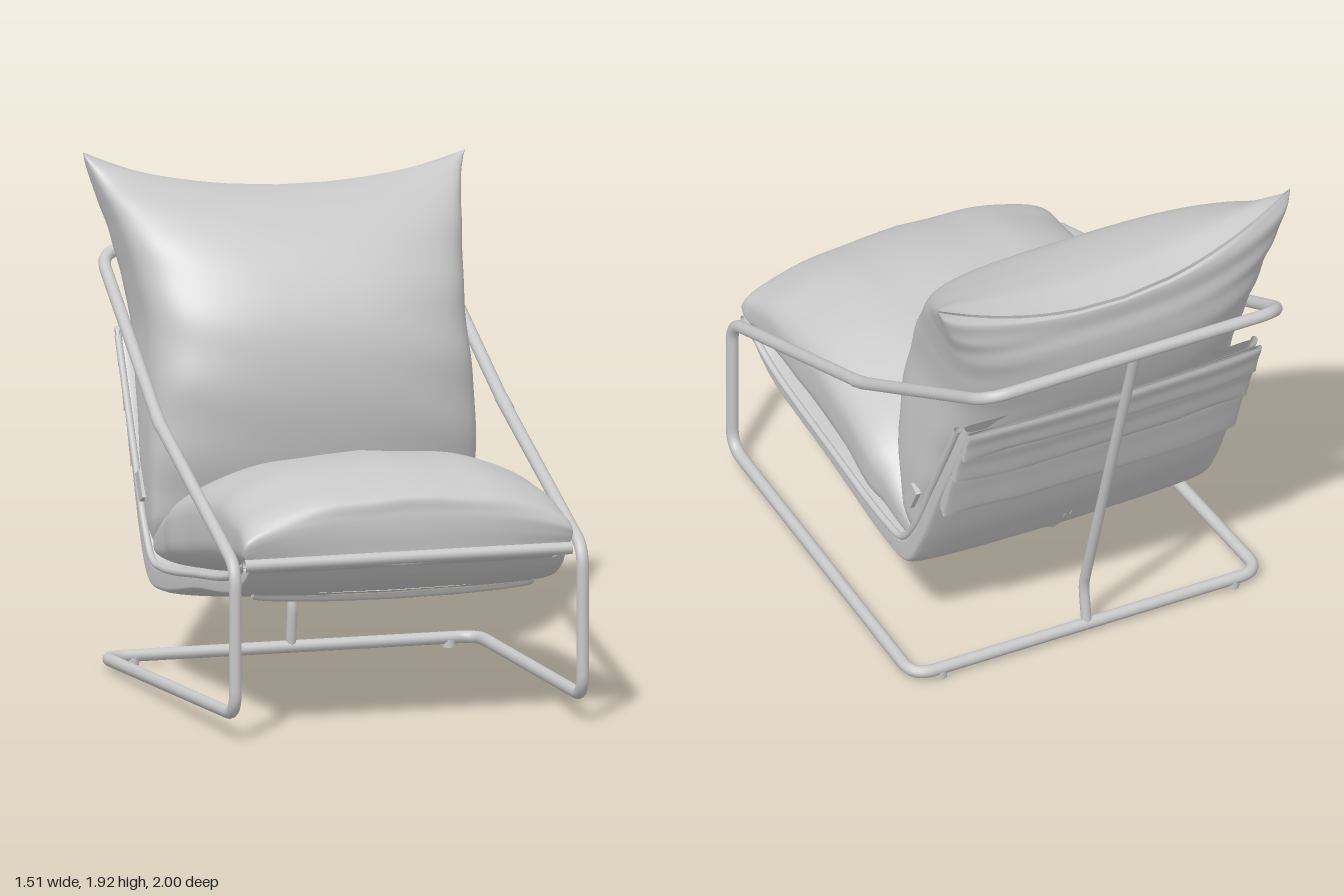
import * as THREE from 'three';

const V = (x, y, z) => new THREE.Vector3(x, y, z);
const grey = new THREE.MeshStandardMaterial({ color: 0xc8c8c8, side: THREE.DoubleSide });
grey.name = 'plain grey';

function add(group, name, geometry) {
  const mesh = new THREE.Mesh(geometry, grey);
  mesh.name = name;
  group.add(mesh);
  return mesh;
}

// Polyline with rounded corners; each point is [x, y, z, cornerRadius]
function roundedPath(points, closed = false) {
  const path = new THREE.CurvePath();
  const n = points.length;
  const p = points.map(([x, y, z]) => V(x, y, z));
  const corner = (i) => {
    if (!closed && (i === 0 || i === n - 1)) return [p[i], p[i]];
    const r = points[i][3] || 0.03;
    const toward = (q) => p[i].clone().add(q.clone().sub(p[i]).setLength(r));
    return [toward(p[(i + n - 1) % n]), toward(p[(i + 1) % n])];
  };
  for (let i = 0; i < (closed ? n : n - 1); i++) {
    const j = (i + 1) % n;
    const [inJ, outJ] = corner(j);
    path.add(new THREE.LineCurve3(corner(i)[1], inJ));
    if (closed || j < n - 1) path.add(new THREE.QuadraticBezierCurve3(inJ, p[j], outJ));
  }
  return path;
}

const tube = (path, radius, segments = 60, closed = false) =>
  new THREE.TubeGeometry(path, segments, radius, 12, closed);

// Soft padded body swept through superellipse sections.
// Section: [upper z, upper y, lower z, lower y, half width, mid shift y, mid shift z]
function padded(sections, { power = 3, rows = 64, around = 96, warp = () => {} } = {}) {
  const upper = new THREE.CatmullRomCurve3(sections.map((s) => V(0, s[1], s[0])));
  const lower = new THREE.CatmullRomCurve3(sections.map((s) => V(0, s[3], s[2])));
  const shape = new THREE.CatmullRomCurve3(sections.map((s) => V(s[4], s[5] || 0, s[6] || 0)));
  const bend = (c) => Math.sign(c) * Math.abs(c) ** (2 / power);
  const positions = [], index = [];
  for (let i = 0; i <= rows; i++) {
    const t = i / rows;
    const a = upper.getPoint(t), b = lower.getPoint(t), w = shape.getPoint(t);
    for (let j = 0; j < around; j++) {
      const angle = (j / around) * Math.PI * 2;
      const u = bend(Math.cos(angle)), s = bend(Math.sin(angle));
      const q = b.clone().lerp(a, 0.5 + s / 2);
      q.x = w.x * u;
      q.y += w.y * (1 - u * u);
      q.z += w.z * (1 - u * u);
      warp(q, u, s, t);
      positions.push(q.x, q.y, q.z);
      if (i < rows) {
        const k = (j + 1) % around, r = i * around, r2 = r + around;
        index.push(r + j, r2 + j, r + k, r + k, r2 + j, r2 + k);
      }
    }
  }
  const g = new THREE.BufferGeometry();
  g.setAttribute('position', new THREE.Float32BufferAttribute(positions, 3));
  g.setIndex(index);
  g.computeVertexNormals();
  return g;
}

export function createModel() {
  const model = new THREE.Group();
  model.name = 'loungeChair';

  // Bent tube frame: one closed loop of back bar, arms, front legs and floor runners
  const frame = new THREE.Group();
  frame.name = 'frame';
  model.add(frame);
  const side = [
    [0.635, 1.515, -0.975, 0.12],
    [0.675, 1.03, -0.05, 0.06],
    [0.68, 0.665, 0.975, 0.08],
    [0.68, 0.1, 0.975, 0.09],
    [0.735, 0.035, -0.585, 0.09],
  ];
  const mirrored = side.map(([x, y, z, r]) => [-x, y, z, r]).reverse();
  add(frame, 'mainFrame', tube(roundedPath([...side, ...mirrored], true), 0.024, 600, true));
  add(frame, 'frontRail', tube(roundedPath([[-0.64, 0.665, 0.96], [0.64, 0.665, 0.96]]), 0.024, 2));
  add(frame, 'rearPost', tube(roundedPath(
    [[0, 1.51, -0.975], [0, 0.2, -0.56, 0.04], [0, 0.035, -0.585]]), 0.02));
  add(frame, 'underSeatTube', tube(roundedPath(
    [[0, 0.36, -0.1], [0, 0.27, -0.26, 0.1], [0, 0.46, -0.43]]), 0.018));
  for (const s of [-1, 1]) {
    // Arm joint sleeves and floor glides
    add(frame, 'armSleeve', tube(roundedPath(
      [[s * 0.677, 1.012, 0.0], [s * 0.674, 1.045, -0.08]]), 0.0255, 2));
    const foot = add(frame, 'footGlide', new THREE.CylinderGeometry(0.025, 0.025, 0.03, 16));
    foot.position.set(s * 0.62, 0.015, -0.585);
  }

  // Fabric sling wrapped round the front rail, under the seat and up the back
  const sling = new THREE.Group();
  sling.name = 'sling';
  model.add(sling);
  add(sling, 'slingBody', padded([
    [0.95, 0.68, 0.95, 0.63, 0.62],
    [0.88, 0.66, 0.9, 0.58, 0.625],
    [0.76, 0.6, 0.76, 0.515, 0.63, -0.015],
    [0.3, 0.52, 0.3, 0.445, 0.635, -0.025],
    [-0.15, 0.46, -0.17, 0.35, 0.635, -0.035],
    [-0.28, 0.46, -0.34, 0.36, 0.635, -0.02],
    [-0.38, 0.56, -0.45, 0.51, 0.635, 0, -0.02],
    [-0.53, 0.84, -0.59, 0.8, 0.63, 0, -0.025],
    [-0.7, 1.17, -0.76, 1.14, 0.62, 0, -0.025],
    [-0.755, 1.25, -0.79, 1.24, 0.615, 0, -0.025],
  ], { power: 8 }));
  // Overlapping flaps down the back, each standing off at its lower hem
  const backZ = (y) => -0.445 - 0.5 * (y - 0.51);
  for (const [name, low, high, lift] of [
    ['topFlap', 1.11, 1.25, 0.025],
    ['middleFlap', 0.96, 1.13, 0.028],
    ['lowerFlap', 0.76, 0.98, 0.04],
  ]) {
    const section = (y, inner, outer) =>
      [backZ(y) + inner, y, backZ(y) - outer, y - outer * 0.4, 0.622, 0, -0.025];
    add(sling, name, padded([
      section(low, -lift * 0.8, lift),
      section(low + 0.02, 0.01, lift),
      section((low + high) / 2, 0.02, lift * 0.7),
      section(high - 0.02, 0.02, 0.015),
      section(high, 0.01, 0.005),
    ], {
      power: 8, rows: 24,
      warp: (q, u, s, t) => { q.y += 0.008 * (1 - t) * Math.sin(u * 7 + low * 20); },
    }));
  }
  add(sling, 'frontHem', padded([
    [0.78, 0.525, 0.78, 0.515, 0.55, -0.02],
    [0.77, 0.53, 0.765, 0.49, 0.55, -0.02],
    [0.74, 0.52, 0.74, 0.49, 0.55, -0.02],
  ], { power: 6, rows: 10 }));
  for (const s of [-1, 1]) {
    const seam = [[0.665, 0.94], [0.59, 0.76], [0.51, 0.3], [0.45, -0.15], [0.46, -0.29],
      [0.57, -0.39], [0.85, -0.54], [1.23, -0.74]].map(([y, z]) => V(s * 0.63, y, z));
    add(sling, 'sidePiping', tube(new THREE.CatmullRomCurve3(seam), 0.014, 80));
    const tie = add(sling, 'sideTie', new THREE.BoxGeometry(0.02, 0.11, 0.05));
    tie.position.set(s * 0.64, 0.72, -0.4);
    tie.rotation.x = -0.5;
  }

  // Seat cushion: upright front face, domed top, gentle folds near the edges
  add(model, 'seatCushion', padded([
    [0.965, 0.69, 0.955, 0.685, 0.635],
    [0.985, 0.735, 0.94, 0.67, 0.64, 0, -0.015],
    [0.995, 0.785, 0.92, 0.65, 0.645, 0, -0.03],
    [0.95, 0.835, 0.88, 0.62, 0.64],
    [0.8, 0.885, 0.78, 0.59, 0.632],
    [0.57, 0.91, 0.57, 0.54, 0.63],
    [0.2, 0.86, 0.2, 0.48, 0.63],
    [-0.13, 0.74, -0.1, 0.43, 0.63],
    [-0.31, 0.6, -0.3, 0.43, 0.62],
    [-0.38, 0.52, -0.36, 0.49, 0.6],
  ], {
    power: 3.5,
    rows: 80,
    warp: (q, u, s, t) => {
      const inner = 1 - (2 * t - 1) ** 2;
      q.y += 0.07 * inner * (1 - u * u) * Math.max(0, s);
      q.y += 0.006 * inner * u * u * Math.sin(t * 42 + 2 * u) * s;
      q.y += 0.005 * inner * (1 - u * u) * Math.sin(u * 11 + t * 3) * s;
    },
  }));

  // Back cushion with drawn-out top corners, one a little higher than the other
  add(model, 'backCushion', padded([
    [-0.32, 0.5, -0.35, 0.48, 0.6],
    [-0.245, 0.64, -0.42, 0.56, 0.63],
    [-0.18, 0.88, -0.53, 0.78, 0.64],
    [-0.155, 1.12, -0.65, 1.02, 0.632],
    [-0.19, 1.34, -0.78, 1.27, 0.62],
    [-0.305, 1.55, -0.85, 1.46, 0.64],
    [-0.47, 1.73, -0.865, 1.6, 0.672, -0.025],
    [-0.64, 1.825, -0.86, 1.71, 0.706, -0.065],
    [-0.75, 1.88, -0.845, 1.82, 0.735, -0.11, -0.03],
    [-0.8, 1.892, -0.81, 1.885, 0.748, -0.165, -0.08],
  ], {
    power: 4,
    rows: 90,
    warp: (q, u, s, t) => {
      const inner = 1 - (2 * t - 1) ** 4;
      q.z += 0.04 * inner * (1 - u * u) * s;
      q.z += 0.007 * u * u * Math.sin(t * 48 + 3 * u) * s * (1 - t ** 4);
      q.y -= 0.035 * u * Math.max(0, (t - 0.6) / 0.4);
    },
  }));
  return model;
}
